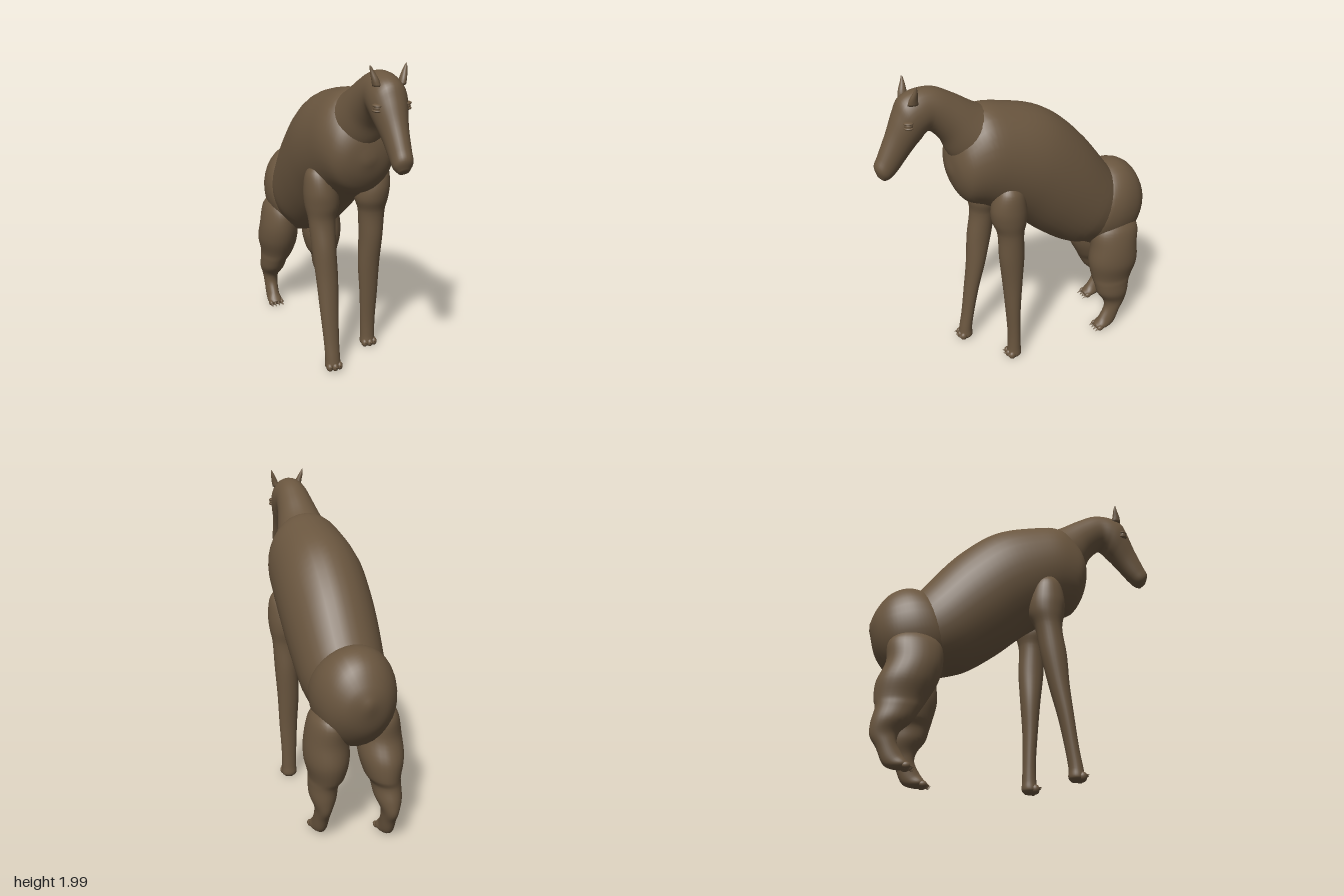
import * as THREE from 'three';

const brown = new THREE.MeshStandardMaterial({ color: 0x6a563f });
brown.name = 'brown hide';

// Smooth skin over sections [zTop, yTop, zBottom, yBottom, halfWidth, xCentre]
function loft(name, sections, sides = 28, steps = 5) {
  const V = (x, y, z) => new THREE.Vector3(x, y, z);
  const curve = (f) => new THREE.CatmullRomCurve3(sections.map(f));
  const tops = curve((s) => V(0, s[1], s[0]));
  const bottoms = curve((s) => V(0, s[3], s[2]));
  const widths = curve((s, i) => V(s[4], s[5] || 0, i * 0.1));
  const n = (sections.length - 1) * steps;
  const pos = [], idx = [], centres = [];
  let turn = 0;
  for (let i = 0; i <= n; i++) {
    const t = i / n, a = tops.getPoint(t), b = bottoms.getPoint(t), w = widths.getPoint(t);
    const c = a.clone().add(b).multiplyScalar(0.5), v = a.clone().sub(b).multiplyScalar(0.5);
    c.x = w.y;
    for (let j = 0; j < sides; j++) {
      const q = (j / sides) * Math.PI * 2;
      pos.push(c.x + w.x * Math.cos(q), c.y + v.y * Math.sin(q), c.z + v.z * Math.sin(q));
    }
    if (i) turn += V(1, 0, 0).cross(v).dot(c.clone().sub(centres[i - 1]));
    centres.push(c);
  }
  const tri = (a, b, c) => (turn > 0 ? idx.push(a, b, c) : idx.push(a, c, b));
  const first = pos.length / 3;
  pos.push(...centres[0].toArray(), ...centres[n].toArray());
  for (let j = 0; j < sides; j++) {
    const k = (j + 1) % sides;
    for (let i = 0; i < n; i++) {
      const r = i * sides, s = r + sides;
      tri(r + j, r + k, s + j);
      tri(r + k, s + k, s + j);
    }
    tri(first, k, j);
    tri(first + 1, n * sides + j, n * sides + k);
  }
  const g = new THREE.BufferGeometry();
  g.setAttribute('position', new THREE.Float32BufferAttribute(pos, 3));
  g.setIndex(idx);
  g.computeVertexNormals();
  const mesh = new THREE.Mesh(g, brown);
  mesh.name = name;
  return mesh;
}

function ball(name, x, y, z, rx, ry, rz) {
  const mesh = new THREE.Mesh(new THREE.SphereGeometry(1, 20, 14), brown);
  mesh.name = name;
  mesh.position.set(x, y, z);
  mesh.scale.set(rx, ry, rz);
  return mesh;
}

// Cone from a base point to a tip
function spike(name, from, to, radius) {
  const a = new THREE.Vector3(...from), d = new THREE.Vector3(...to).sub(a);
  const mesh = new THREE.Mesh(new THREE.ConeGeometry(radius, d.length(), 10), brown);
  mesh.name = name;
  mesh.position.copy(a).addScaledVector(d, 0.5);
  mesh.quaternion.setFromUnitVectors(new THREE.Vector3(0, 1, 0), d.normalize());
  return mesh;
}

// Foreleg; the foot reaches forward by the given stride
function foreleg(side, stride) {
  const g = new THREE.Group();
  g.name = side > 0 ? 'leftForeleg' : 'rightForeleg';
  const rows = [ // y, front z, back z, half width, x
    [1.34, 0.2, 0.14, 0.03, 0.19], [1.27, 0.25, 0.08, 0.08, 0.19], [1.16, 0.278, 0.05, 0.103, 0.18],
    [1.07, 0.268, 0.045, 0.107, 0.17], [0.98, 0.235, 0.065, 0.086, 0.175], [0.8, 0.225, 0.062, 0.076, 0.175],
    [0.6, 0.2, 0.072, 0.07, 0.168], [0.4, 0.182, 0.085, 0.06, 0.17], [0.2, 0.168, 0.085, 0.05, 0.17],
    [0.08, 0.17, 0.082, 0.048, 0.17], [0.03, 0.175, 0.08, 0.05, 0.17], [0.01, 0.16, 0.095, 0.035, 0.17],
  ];
  const shift = (y) => stride * Math.min(1, Math.max(0, (1.1 - y) / 1.0));
  g.add(loft('leg', rows.map(([y, f, b, w, x]) =>
    [f + shift(y), y, b + shift(y), y, w, x * side])));
  for (let i = -1; i <= 1; i++) {
    const x = side * 0.17 + i * 0.033, z = 0.165 + stride - Math.abs(i) * 0.008;
    g.add(ball('toe', x, 0.035, z, 0.021, 0.027, 0.025));
    g.add(spike('claw', [x, 0.04, z + 0.015], [x, 0.048, z + 0.042], 0.01));
  }
  return g;
}

// Hind leg with bulging thigh, calf and hock; the foot trails by the given offset
function hindLeg(side, trail) {
  const g = new THREE.Group();
  g.name = side > 0 ? 'leftHindLeg' : 'rightHindLeg';
  const rows = [ // front z, front y, back z, back y, half width, x
    [-0.56, 0.87, -0.74, 0.87, 0.05, 0.16], [-0.49, 0.79, -0.81, 0.79, 0.105, 0.16],
    [-0.475, 0.67, -0.81, 0.66, 0.128, 0.163], [-0.465, 0.55, -0.82, 0.53, 0.132, 0.162],
    [-0.49, 0.43, -0.79, 0.42, 0.105, 0.162], [-0.505, 0.37, -0.765, 0.37, 0.088, 0.178],
    [-0.525, 0.3, -0.755, 0.28, 0.08, 0.183], [-0.575, 0.225, -0.74, 0.2, 0.052, 0.185],
    [-0.585, 0.17, -0.7, 0.13, 0.046, 0.187], [-0.55, 0.1, -0.65, 0.03, 0.045, 0.19],
    [-0.525, 0.065, -0.58, 0.01, 0.05, 0.19], [-0.505, 0.045, -0.525, 0.015, 0.03, 0.19],
  ];
  const shift = (y) => -trail * Math.min(1, Math.max(0, (0.68 - y) / 0.45));
  g.add(loft('leg', rows.map(([f, fy, b, by, w, x]) =>
    [f + shift(fy), fy, b + shift(by), by, w, x * side])));
  g.add(ball('hock', side * 0.187, 0.19, -0.675 - trail, 0.042, 0.035, 0.04));
  for (let i = 0; i < 4; i++) {
    const x = side * 0.19 + (i - 1.5) * 0.026, z = -0.53 - trail;
    g.add(ball('toe', x, 0.03, z, 0.015, 0.019, 0.025));
    g.add(spike('claw', [x, 0.03, z + 0.015], [x, 0.014, z + 0.048], 0.009));
  }
  return g;
}

export function createModel() {
  const model = new THREE.Group();
  model.name = 'longLeggedBeast';

  // Sloping torso, chest to loin
  model.add(loft('torso', [
    [0.475, 1.45, 0.475, 1.39, 0.03], [0.46, 1.56, 0.435, 1.27, 0.14], [0.41, 1.67, 0.38, 1.19, 0.205],
    [0.28, 1.785, 0.27, 1.14, 0.25], [0.08, 1.765, 0.17, 1.08, 0.27], [-0.17, 1.685, 0.05, 0.995, 0.282],
    [-0.4, 1.5, -0.12, 0.85, 0.277], [-0.62, 1.23, -0.32, 0.715, 0.255], [-0.72, 1.1, -0.47, 0.665, 0.22],
  ], 32));

  // Rounded hindquarters
  model.add(loft('rump', [
    [-0.54, 1.1, -0.42, 0.75, 0.2], [-0.62, 1.205, -0.47, 0.665, 0.242], [-0.72, 1.218, -0.6, 0.615, 0.25],
    [-0.82, 1.165, -0.75, 0.63, 0.215], [-0.89, 1.06, -0.865, 0.75, 0.135], [-0.922, 0.97, -0.92, 0.92, 0.02],
  ], 32));

  // Neck bending into skull and long muzzle
  model.add(loft('neckAndHead', [
    [0.15, 1.74, 0.4, 1.4, 0.19], [0.28, 1.8, 0.475, 1.52, 0.155], [0.42, 1.885, 0.52, 1.62, 0.125],
    [0.55, 1.948, 0.6, 1.695, 0.107], [0.67, 1.948, 0.625, 1.68, 0.11], [0.75, 1.912, 0.645, 1.655, 0.108],
    [0.79, 1.84, 0.675, 1.625, 0.096], [0.84, 1.72, 0.73, 1.56, 0.074], [0.9, 1.59, 0.79, 1.49, 0.062],
    [0.926, 1.53, 0.835, 1.45, 0.056], [0.912, 1.47, 0.87, 1.436, 0.03],
  ], 28));

  for (const s of [1, -1]) {
    // Eyes with lids
    model.add(ball('eye', s * 0.085, 1.78, 0.735, 0.026, 0.022, 0.026));
    for (const [name, dy] of [['upperLid', 0.014], ['lowerLid', -0.014]])
      model.add(ball(name, s * 0.085, 1.78 + dy, 0.735, 0.031, 0.011, 0.031));
    // Small pointed ears
    model.add(loft('ear', [
      [0.73, 1.89, 0.665, 1.89, 0.022, s * 0.075], [0.722, 1.925, 0.672, 1.925, 0.02, s * 0.084],
      [0.703, 1.965, 0.675, 1.965, 0.013, s * 0.097], [0.69, 2.0, 0.682, 2.0, 0.003, s * 0.108],
    ], 12, 3));
  }

  model.add(foreleg(1, 0), foreleg(-1, 0.2));
  model.add(hindLeg(1, 0), hindLeg(-1, 0.14));
  return model;
}
